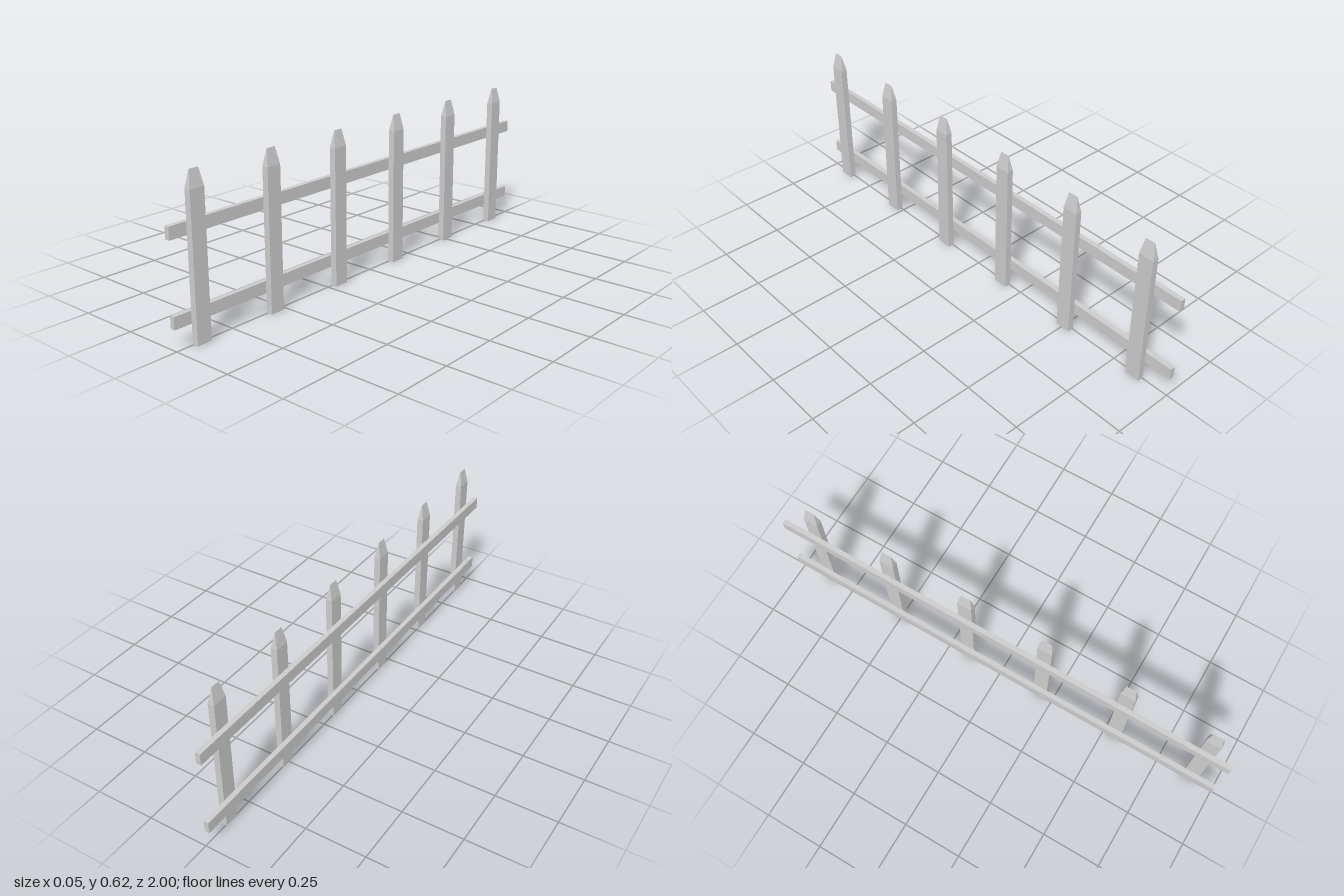
import * as THREE from 'three';

const THICK = 0.026, WIDTH = 0.062, SHOULDER = 0.555, HEIGHT = 0.62, RIDGE = 0.04;

// Board with a wedge tip: four straight sides closing to a short ridge along z
function picketGeometry() {
  const x = THICK / 2, z = WIDTH / 2, r = RIDGE / 2;
  const ring = (y) => [-x, y, z, x, y, z, x, y, -z, -x, y, -z];
  const positions = [...ring(0), ...ring(SHOULDER), 0, HEIGHT, r, 0, HEIGHT, -r];
  const index = [0, 3, 2, 0, 2, 1]; // base
  for (let i = 0; i < 4; i++) {
    const j = (i + 1) % 4;
    index.push(i, j, j + 4, i, j + 4, i + 4);
  }
  index.push(4, 5, 8, 5, 6, 9, 5, 9, 8, 6, 7, 9, 7, 4, 8, 7, 8, 9); // tip
  const indexed = new THREE.BufferGeometry();
  indexed.setAttribute('position', new THREE.Float32BufferAttribute(positions, 3));
  indexed.setIndex(index);
  const geometry = indexed.toNonIndexed();
  geometry.computeVertexNormals();
  return geometry;
}

export function createModel() {
  const fence = new THREE.Group();
  fence.name = 'picketFence';
  const material = new THREE.MeshStandardMaterial({ color: 0xcccccc, flatShading: true });

  const add = (name, geometry, x, y, z) => {
    const mesh = new THREE.Mesh(geometry, material);
    mesh.name = name;
    mesh.position.set(x, y, z);
    fence.add(mesh);
  };

  // Six evenly spaced pickets
  const picket = picketGeometry();
  for (let i = 0; i < 6; i++) add(`picket${i + 1}`, picket, 0.009, 0, 0.895 - i * 0.35);

  // Two long rails behind the pickets
  const rail = new THREE.BoxGeometry(0.02, 0.048, 2);
  add('lowerRail', rail, -0.014, 0.101, 0);
  add('upperRail', rail, -0.014, 0.418, 0);

  return fence;
}
